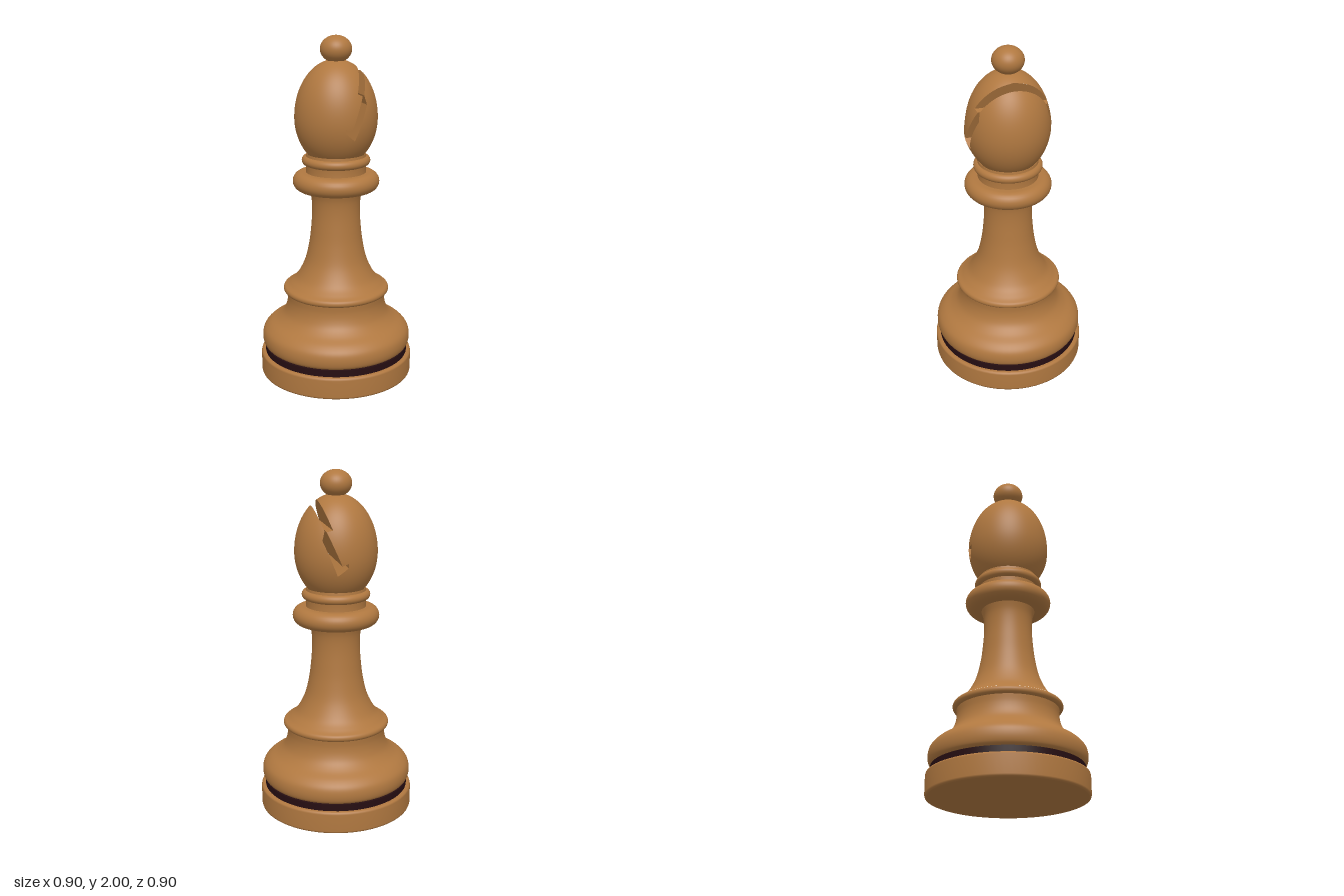
import * as THREE from 'three';

const wood = new THREE.MeshStandardMaterial({ color: 0xb07840 });
wood.name = 'warm wood';
const dark = new THREE.MeshStandardMaterial({ color: 0x260e12 });
dark.name = 'dark inlay';

const vec = ([x, y]) => new THREE.Vector2(x, y);

// Turned part: profile of [radius, height] from bottom to top, optionally smoothed
function turned(name, profile, material = wood, smooth = 0) {
  let points = profile.map(vec);
  if (smooth) points = new THREE.SplineCurve(points).getPoints(smooth);
  const mesh = new THREE.Mesh(new THREE.LatheGeometry(points, 72), material);
  mesh.name = name;
  return mesh;
}

// Ring with a half-round edge between two heights
function bead(name, radius, bottom, top, inner) {
  const h = (top - bottom) / 2, profile = [];
  for (let i = 0; i <= 14; i++) {
    const a = -Math.PI / 2 + (Math.PI * i) / 14;
    profile.push([radius - h + h * Math.cos(a), bottom + h + h * Math.sin(a)]);
  }
  return turned(name, [[inner, bottom], ...profile, [inner, top]]);
}

// Head: an egg of revolution, slightly swollen beside the slot
const RADIUS = 0.237, MIDDLE = 1.54;
const halfHeight = y => (y > MIDDLE ? 0.328 : 0.29);
const eggRadius = y => RADIUS * Math.sqrt(Math.max(0, 1 - ((y - MIDDLE) / halfHeight(y)) ** 2));
const swell = (x, y) => 1 + 0.05 * Math.exp(-((x / 0.06) ** 2) - ((y - 1.5) / 0.09) ** 2);
const depth = (x, y) => Math.sqrt(Math.max(0, eggRadius(y) ** 2 - x * x)) * swell(x, y);

// Stepped slot, cut straight through from front to back, as convex pieces
const slotPieces = [
  [[0.058, 1.69], [0.092, 1.682], [0.103, 1.685], [0.172, 1.885], [0.128, 1.885]],
  [[0.015, 1.5], [0.037, 1.44], [0.116, 1.635], [0.103, 1.685], [0.092, 1.682]],
  [[-0.02, 1.512], [-0.02, 1.488], [0.037, 1.44], [0.015, 1.5]],
];
const slotOutline = [
  [0.128, 1.885], [0.058, 1.69], [0.092, 1.682], [0.015, 1.5], [-0.02, 1.512],
  [-0.02, 1.488], [0.037, 1.44], [0.116, 1.635], [0.103, 1.685], [0.172, 1.885],
];

// Split a polygon by the line a-b into its inner (left) and outer parts
function split(poly, a, b) {
  const side = p => (b[0] - a[0]) * (p.y - a[1]) - (b[1] - a[1]) * (p.x - a[0]);
  const inner = [], outer = [];
  poly.forEach((p, i) => {
    const q = poly[(i + 1) % poly.length], s = side(p), t = side(q);
    (s >= 0 ? inner : outer).push(p);
    if (s >= 0 !== t >= 0) {
      const cut = p.clone().lerp(q, s / (s - t));
      inner.push(cut);
      outer.push(cut);
    }
  });
  return [inner, outer];
}

// Remove a convex piece from a polygon and return what is left
function subtract(poly, piece) {
  const rest = [];
  for (let i = 0; i < piece.length && poly.length > 2; i++) {
    const [inner, outer] = split(poly, piece[i], piece[(i + 1) % piece.length]);
    if (outer.length > 2) rest.push(outer);
    poly = inner;
  }
  return rest;
}

function headShell() {
  const profile = [];
  for (let i = 0; i <= 40; i++) {
    const a = -0.82 + ((Math.PI / 2 + 0.82) * i) / 40;
    const y = MIDDLE + Math.sin(a) * (a > 0 ? 0.328 : 0.29);
    profile.push(new THREE.Vector2(RADIUS * Math.cos(a), y));
  }
  const source = new THREE.LatheGeometry(profile, 80).toNonIndexed().attributes.position;
  const positions = [], normals = [];
  for (let i = 0; i < source.count; i += 3) {
    const triangle = [0, 1, 2].map(k => {
      const p = new THREE.Vector3().fromBufferAttribute(source, i + k);
      p.z *= swell(p.x, p.y);
      return p;
    });
    let polys = [triangle];
    for (const piece of slotPieces) polys = polys.flatMap(p => subtract(p, piece));
    for (const poly of polys) {
      for (let k = 1; k < poly.length - 1; k++) {
        for (const p of [poly[0], poly[k], poly[k + 1]]) {
          positions.push(p.x, p.y, p.z);
          const n = new THREE.Vector3(p.x / RADIUS ** 2, (p.y - MIDDLE) / halfHeight(p.y) ** 2, p.z / RADIUS ** 2);
          normals.push(...n.normalize().toArray());
        }
      }
    }
  }
  const geometry = new THREE.BufferGeometry();
  geometry.setAttribute('position', new THREE.Float32BufferAttribute(positions, 3));
  geometry.setAttribute('normal', new THREE.Float32BufferAttribute(normals, 3));
  const mesh = new THREE.Mesh(geometry, wood);
  mesh.name = 'headShell';
  return mesh;
}

// Walls of the slot, facing into the gap
function slotWalls() {
  const positions = [], steps = 24;
  for (let e = 0; e < slotOutline.length - 1; e++) {
    const a = vec(slotOutline[e]), b = vec(slotOutline[e + 1]);
    for (let i = 0; i < steps; i++) {
      const p = a.clone().lerp(b, i / steps), q = a.clone().lerp(b, (i + 1) / steps);
      const dp = depth(p.x, p.y), dq = depth(q.x, q.y);
      if (dp === 0 && dq === 0) continue;
      positions.push(p.x, p.y, -dp, q.x, q.y, dq, q.x, q.y, -dq);
      positions.push(p.x, p.y, -dp, p.x, p.y, dp, q.x, q.y, dq);
    }
  }
  const geometry = new THREE.BufferGeometry();
  geometry.setAttribute('position', new THREE.Float32BufferAttribute(positions, 3));
  geometry.computeVertexNormals();
  const mesh = new THREE.Mesh(geometry, wood);
  mesh.name = 'slotWalls';
  return mesh;
}

export function createModel() {
  const model = new THREE.Group();
  model.name = 'chessPiece';

  // Foot disc, dark inlay and rounded pedestal
  model.add(
    turned('footUnderside', [[0, 0], [0.438, 0]]),
    turned('footRim', [[0.438, 0], [0.447, 0.004], [0.45, 0.014], [0.45, 0.116], [0.447, 0.126], [0.438, 0.13]]),
    turned('footTop', [[0.438, 0.13], [0, 0.13]]),
    turned('inlayBand', [[0.425, 0.13], [0.425, 0.168]], dark),
    turned('inlayTop', [[0.425, 0.168], [0.38, 0.168]], dark),
    turned('pedestalUnderside', [[0.36, 0.167], [0.408, 0.167]]),
    turned('pedestal', [
      [0.408, 0.167], [0.432, 0.185], [0.44, 0.225], [0.431, 0.268], [0.4, 0.303],
      [0.35, 0.335], [0.315, 0.37], [0.296, 0.41], [0.288, 0.455], [0.29, 0.5],
    ], wood, 48),
    bead('pedestalRing', 0.311, 0.497, 0.54, 0.2),
  );

  // Flared stem
  model.add(turned('stem', [
    [0.3, 0.538], [0.272, 0.556], [0.228, 0.6], [0.183, 0.69], [0.157, 0.8],
    [0.144, 0.91], [0.139, 1.0], [0.143, 1.07], [0.158, 1.125],
  ], wood, 48));

  // Collar, neck and upper ring
  model.add(
    bead('collar', 0.25, 1.117, 1.225, 0.13),
    turned('neck', [[0.174, 1.22], [0.172, 1.245], [0.174, 1.275]]),
    bead('neckRing', 0.197, 1.267, 1.32, 0.15),
    turned('headSeat', [[0.175, 1.31], [0.172, 1.335]]),
  );

  // Slotted head
  const head = new THREE.Group();
  head.name = 'head';
  head.add(headShell(), slotWalls());
  model.add(head);

  // Finial ball
  const finial = new THREE.Mesh(new THREE.SphereGeometry(0.09, 40, 28), wood);
  finial.name = 'finial';
  finial.scale.y = 0.85;
  finial.position.y = 1.9235;
  model.add(finial);

  return model;
}
